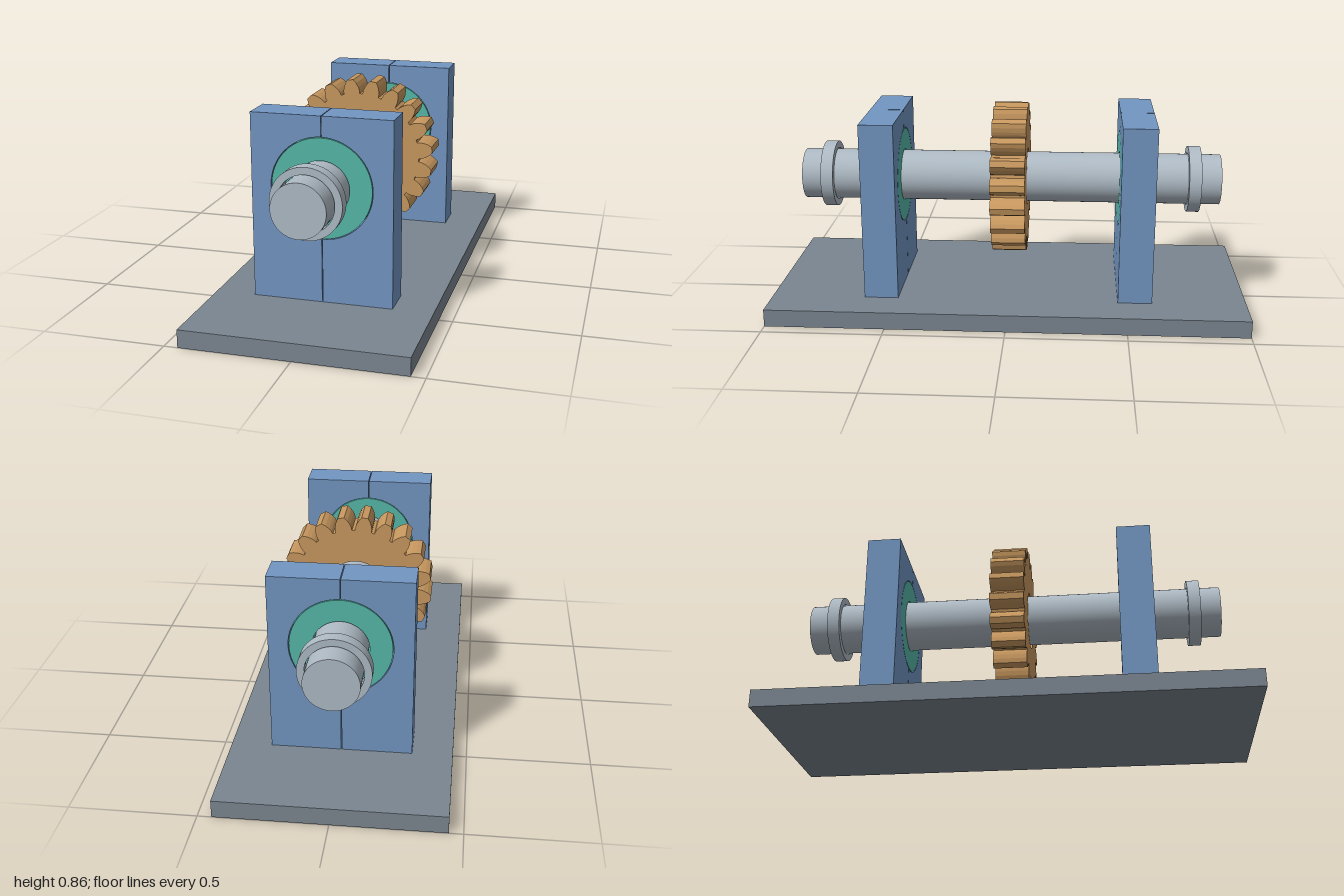
import * as THREE from 'three';

const AXIS_Y = 0.537;

const material = (name, color) => {
  const m = new THREE.MeshStandardMaterial({ color });
  m.name = name;
  return m;
};

function add(parent, name, geometry, mat, x = 0, y = 0, z = 0) {
  const mesh = new THREE.Mesh(geometry, mat);
  mesh.name = name;
  mesh.position.set(x, y, z);
  parent.add(mesh);
  return mesh;
}

// Extrusion along z, centred on z = 0
function extrude(shape, depth, curveSegments = 32) {
  const g = new THREE.ExtrudeGeometry(shape, { depth, bevelEnabled: false, curveSegments });
  return g.translate(0, 0, -depth / 2);
}

function circlePath(r) {
  return new THREE.Path().absarc(0, 0, r, 0, Math.PI * 2, true);
}

function ringGeometry(outer, inner, depth) {
  const s = new THREE.Shape().absarc(0, 0, outer, 0, Math.PI * 2, false);
  s.holes.push(circlePath(inner));
  return extrude(s, depth, 64);
}

// Spur gear outline: root, flank and tip points repeated for each tooth
function gearGeometry(teeth, bore, depth) {
  const profile = [
    [-7.6, 0.262], [-7.2, 0.276], [-6.3, 0.289], [-4.6, 0.306], [-2.4, 0.321],
    [2.4, 0.321], [4.6, 0.306], [6.3, 0.289], [7.2, 0.276], [7.6, 0.262],
  ];
  const points = [];
  for (let i = 0; i < teeth; i++) {
    for (const [deg, r] of profile) {
      const a = THREE.MathUtils.degToRad(6.6 + (i * 360) / teeth + deg);
      points.push(new THREE.Vector2(r * Math.cos(a), r * Math.sin(a)));
    }
  }
  const s = new THREE.Shape(points);
  s.holes.push(circlePath(bore));
  return extrude(s, depth);
}

// Half of a split bearing block, on the +x side, relative to the shaft axis
function housingHalfGeometry() {
  const gap = 0.0015, r = 0.204, w = 0.283;
  const bottom = 0.073 - AXIS_Y, top = 0.823 - AXIS_Y;
  const a = Math.acos(gap / r);
  const s = new THREE.Shape();
  s.moveTo(gap, bottom);
  s.lineTo(w, bottom);
  s.lineTo(w, top);
  s.lineTo(gap, top);
  s.lineTo(gap, r * Math.sin(a));
  s.absarc(0, 0, r, a, -a, true);
  s.lineTo(gap, bottom);
  return extrude(s, 0.143, 48);
}

export function createModel() {
  const model = new THREE.Group();
  model.name = 'gearShaftAssembly';

  const baseGrey = material('baseGrey', 0x7b8690);
  const blue = material('housingBlue', 0x7296c2);
  const teal = material('bearingTeal', 0x55b8a8);
  const steel = material('shaftSteel', 0xaebac4);
  const bronze = material('gearBronze', 0xc8985f);

  // Base plate
  add(model, 'basePlate', new THREE.BoxGeometry(0.89, 0.073, 2), baseGrey, 0, 0.0365, 0);

  // Shaft with everything mounted on it
  const shaft = new THREE.CylinderGeometry(0.107, 0.107, 1.784, 64).rotateX(Math.PI / 2);
  add(model, 'shaft', shaft, steel, 0, AXIS_Y, 0);
  add(model, 'gear', gearGeometry(20, 0.122, 0.143), bronze, 0, AXIS_Y, 0);

  // Bearing blocks, bearings and retaining collars at both ends
  const half = housingHalfGeometry();
  const bearing = ringGeometry(0.201, 0.112, 0.143);
  const collar = ringGeometry(0.141, 0.112, 0.052);
  for (const side of [1, -1]) {
    const end = side > 0 ? 'front' : 'back';
    const block = new THREE.Group();
    block.name = end + 'BearingBlock';
    block.position.set(0, AXIS_Y, side * 0.535);
    add(block, 'leftHousingHalf', half, blue);
    add(block, 'rightHousingHalf', half, blue).rotation.y = Math.PI;
    add(block, 'bearing', bearing, teal);
    model.add(block);
    add(model, end + 'Collar', collar, steel, 0, AXIS_Y, side * 0.779);
  }
  return model;
}
